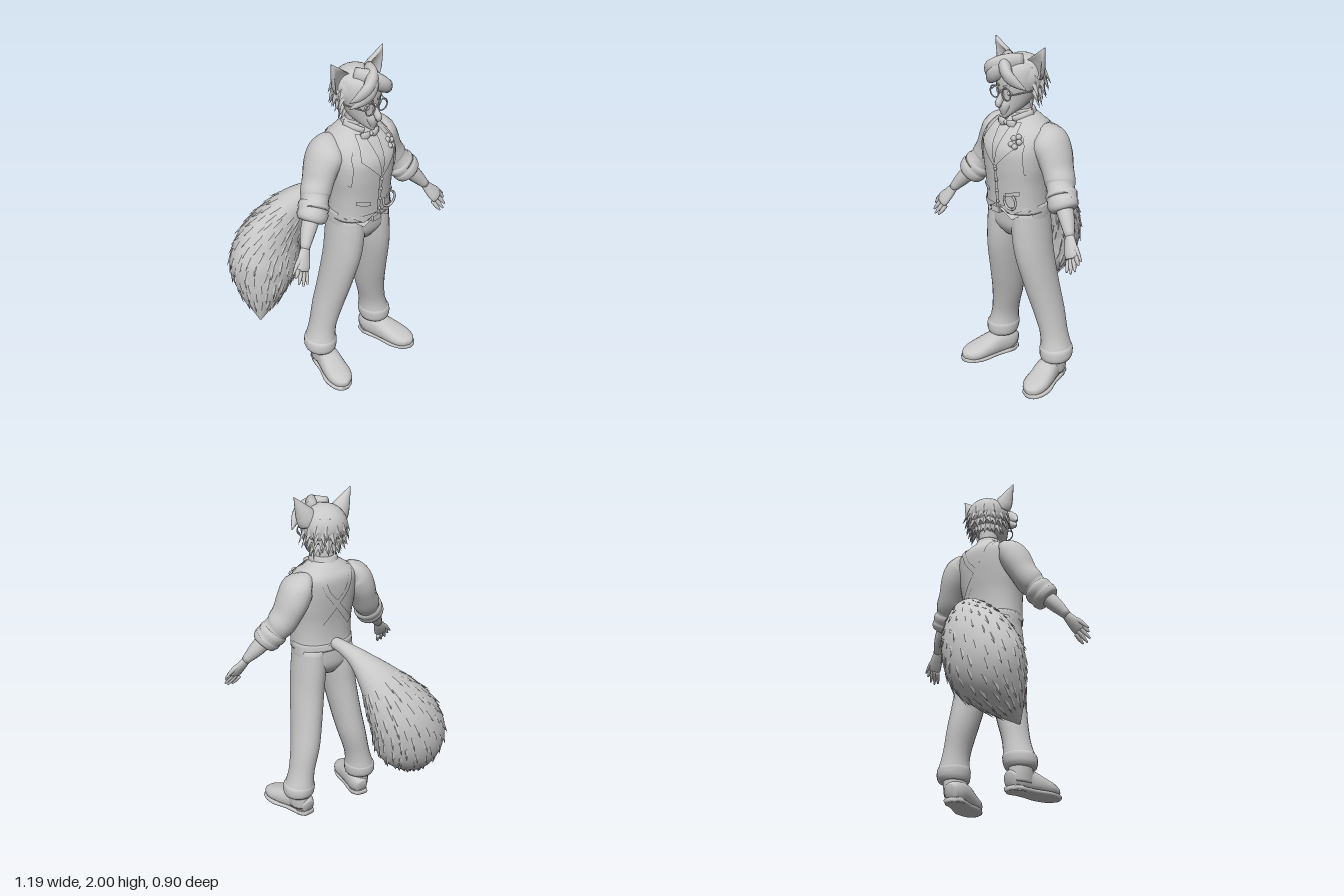
import * as THREE from 'three';
import { mergeGeometries } from 'three/addons/utils/BufferGeometryUtils.js';

const V = (x, y, z) => new THREE.Vector3(x, y, z);
const X = V(1, 0, 0);

// Station list [x, y, z, halfWidth, halfDepth] -> smooth sampler with a frame
function path(st, { flat = false, n = 2, ref = X } = {}) {
  const c = new THREE.CatmullRomCurve3(st.map(s => V(s[0], s[1], s[2])), false, 'catmullrom', 0.5);
  const r = new THREE.CatmullRomCurve3(st.map(s => V(s[3], s[4], 0)), false, 'catmullrom', 0.5);
  const f = t => {
    const p = c.getPoint(t), q = r.getPoint(t);
    const T = flat ? V(0, 1, 0) : c.getTangent(t);
    const A = ref.clone().addScaledVector(T, -ref.dot(T)).normalize();
    return { p, T, A, B: T.clone().cross(A), a: Math.max(q.x, 0.001), b: Math.max(q.y, 0.001) };
  };
  f.n = n;
  f.count = st.length;
  return f;
}
const power = (v, n) => Math.sign(v) * Math.pow(Math.abs(v), 2 / n);
function onRing(f, t, ang) {
  const s = f(t);
  return s.p.addScaledVector(s.A, s.a * power(Math.cos(ang), f.n)).addScaledVector(s.B, s.b * power(Math.sin(ang), f.n));
}
// Closed tube through the sampler's rings
function loft(f, seg = 20, steps = (f.count - 1) * 4) {
  const pos = [], idx = [];
  for (let i = 0; i <= steps; i++)
    for (let j = 0; j < seg; j++) pos.push(...onRing(f, i / steps, j / seg * Math.PI * 2).toArray());
  pos.push(...f(0).p.toArray(), ...f(1).p.toArray());
  const c0 = (steps + 1) * seg, top = steps * seg;
  for (let j = 0; j < seg; j++) {
    const k = (j + 1) % seg;
    for (let i = 0; i < steps; i++) {
      const a = i * seg + j, b = i * seg + k;
      idx.push(a, b, a + seg, b, b + seg, a + seg);
    }
    idx.push(c0, k, j, c0 + 1, top + j, top + k);
  }
  const g = new THREE.BufferGeometry();
  g.setAttribute('position', new THREE.Float32BufferAttribute(pos, 3));
  g.setIndex(idx);
  g.computeVertexNormals();
  return g;
}
// Flattened pointed tuft
function spike(p, dir, out, len, w) {
  const g = new THREE.ConeGeometry(w, len, 4).toNonIndexed();
  g.translate(0, len / 2, 0);
  const d = dir.clone().normalize(), side = d.clone().cross(out).normalize();
  g.applyMatrix4(new THREE.Matrix4().makeBasis(side, d, side.clone().cross(d).multiplyScalar(0.45)).setPosition(p));
  g.computeVertexNormals();
  return g;
}

export function createModel() {
  const root = new THREE.Group();
  root.name = 'foxFigure';
  const grey = new THREE.MeshStandardMaterial({ color: 0xc8c8c8, side: THREE.DoubleSide });
  grey.name = 'plain grey';
  let seed = 7;
  const rnd = () => (seed = (seed * 16807) % 2147483647) / 2147483647;
  const add = (name, geo, x = 0, y = 0, z = 0) => {
    const m = new THREE.Mesh(geo, grey);
    m.name = name;
    m.position.set(x, y, z);
    root.add(m);
    return m;
  };
  const part = (name, st, o, seg, steps) => add(name, loft(path(st, o), seg, steps));

  // Waistcoat body
  const torso = path([
    [0, 1.075, .25, .187, .145], [0, 1.15, .255, .183, .142], [0, 1.25, .255, .186, .148], [0, 1.35, .25, .2, .16],
    [0, 1.45, .24, .205, .165], [0, 1.53, .215, .19, .14], [0, 1.58, .205, .13, .1], [0, 1.62, .21, .07, .07]], { flat: true, n: 2.3 });
  add('waistcoat', loft(torso, 36, 40));

  // Thin panels laid over the front (sign 1) or back (sign -1) of the torso
  const surfaceZ = (x, y, sign) => {
    let lo = 0, hi = 1;
    for (let i = 0; i < 24; i++) { const m = (lo + hi) / 2; if (torso(m).p.y < y) lo = m; else hi = m; }
    const s = torso(lo), q = Math.min(Math.abs(x) / s.a, 0.97);
    return s.p.z + sign * s.b * Math.pow(1 - Math.pow(q, 2.3), 1 / 2.3);
  };
  const panel = (name, e1, e2, sign = 1, off = 0.008) => {
    const g = new THREE.PlaneGeometry(1, 1, 6, 16), p = g.attributes.position;
    const at = (e, t) => {
      const k = Math.min(Math.floor(t * (e.length - 1)), e.length - 2), u = t * (e.length - 1) - k;
      return [0, 1].map(i => e[k][i] + (e[k + 1][i] - e[k][i]) * u);
    };
    for (let i = 0; i < p.count; i++) {
      const u = p.getX(i) + .5, t = .5 - p.getY(i), a = at(e1, t), b = at(e2, t);
      const x = a[0] + (b[0] - a[0]) * u, y = a[1] + (b[1] - a[1]) * u;
      p.setXYZ(i, x, y, surfaceZ(x, y, sign) + sign * off);
    }
    g.computeVertexNormals();
    add(name, g);
  };
  panel('buttonPlacket', [[-.012, 1.37], [-.012, 1.08]], [[.012, 1.37], [.012, 1.08]]);
  for (let i = 0; i < 4; i++) {
    const y = 1.33 - i * .065;
    add('button', new THREE.SphereGeometry(.009, 8, 6), .004, y, surfaceZ(0, y, 1) + .01);
  }
  for (const s of [1, -1]) {
    const m = e => e.map(([x, y]) => [x * s, y]);
    panel('lapel', m([[.04, 1.585], [.02, 1.47], [0, 1.36]]), m([[.085, 1.585], [.125, 1.47], [.01, 1.35]]), 1, .014);
    panel('shoulderStrap', m([[.115, 1.58], [.16, 1.48], [.165, 1.32]]), m([[.14, 1.57], [.185, 1.48], [.185, 1.32]]), 1, .01);
    panel('backStrap', m([[.1, 1.585], [.05, 1.46], [-.13, 1.25]]), m([[.125, 1.575], [.08, 1.45], [-.1, 1.22]]), -1, .007);
    panel('pocketWelt', m([[.06, 1.2], [.06, 1.175]]), m([[.14, 1.22], [.14, 1.195]]), 1, .01);
    // Pointed hem flap
    panel('hemPoint', m([[.01, 1.12], [.09, 1.076]]), m([[.17, 1.12], [.1, 1.076]]), 1, .008);
    const tri = new THREE.Shape([[.01, 1.1], [.175, 1.1], [.095, 1.045]].map(([x, y]) => new THREE.Vector2(x * s, y)));
    const flap = new THREE.ExtrudeGeometry(tri, { depth: .008, bevelEnabled: false });
    const fp = flap.attributes.position;
    for (let i = 0; i < fp.count; i++) fp.setZ(i, fp.getZ(i) + surfaceZ(fp.getX(i), 1.08, 1));
    flap.computeVertexNormals();
    add('hemFlap', flap);
    // Shirt collar wing and bow tie
    part('collarWing', [[s * .075, 1.61, .2, .012, .03], [s * .06, 1.605, .26, .016, .022], [s * .025, 1.59, .305, .01, .02]], {}, 10);
    part('bowLoop', [[0, 1.575, .325, .01, .01], [s * .03, 1.572, .328, .013, .024], [s * .06, 1.565, .32, .01, .03]], { ref: V(0, 0, 1) }, 10);
  }
  add('bowKnot', new THREE.SphereGeometry(.014, 10, 8), 0, 1.575, .33);
  part('collar', [[0, 1.57, .2, .09, .085], [0, 1.61, .205, .08, .075], [0, 1.64, .21, .073, .068]], { flat: true });
  part('neck', [[0, 1.56, .21, .06, .06], [0, 1.74, .22, .06, .065]], { flat: true }, 16);

  // Breast flower, watch chain and buckle
  for (let i = 0; i < 5; i++) {
    const a = i * 1.257, x = .11 + .02 * Math.cos(a), y = 1.5 + .024 * Math.sin(a);
    add('flowerPetal', new THREE.SphereGeometry(.017, 8, 6), x, y, surfaceZ(x, y, 1) + .008);
  }
  add('watchChain', new THREE.TorusGeometry(.045, .007, 6, 20, Math.PI * 1.5), .09, 1.155, surfaceZ(.09, 1.15, 1) + .012).rotation.z = 2.6;
  add('beltBuckle', new THREE.BoxGeometry(.06, .035, .02), -.015, 1.085, .4);

  // Trousers
  part('trouserHips', [[0, .91, .24, .06, .09], [0, .97, .24, .17, .125], [0, 1.04, .24, .187, .132], [0, 1.12, .24, .186, .13]], { flat: true, n: 2.3 }, 32);
  for (const s of [1, -1]) {
    part('trouserLeg', [
      [s * .225, .14, .175, .083, .085], [s * .225, .19, .17, .09, .098], [s * .215, .25, .168, .08, .09], [s * .2, .32, .17, .077, .088],
      [s * .17, .45, .18, .085, .1], [s * .143, .6, .205, .089, .112], [s * .115, .8, .235, .094, .126],
      [s * .099, .95, .24, .096, .13], [s * .09, 1.08, .24, .093, .125]], { flat: true }, 22);
    part('trouserCuff', [[s * .228, .135, .175, .086, .09], [s * .228, .16, .172, .094, .1], [s * .225, .2, .17, .094, .101], [s * .22, .22, .17, .082, .09]], { flat: true }, 22);

    // Shoes with toes turned out
    part('shoe', [[s * .2, .055, .1, .035, .045], [s * .205, .07, .15, .058, .065], [s * .222, .075, .23, .066, .07],
      [s * .245, .06, .31, .074, .055], [s * .262, .048, .38, .074, .043], [s * .275, .04, .43, .052, .033], [s * .28, .035, .455, .015, .018]], { n: 2.4 }, 18);
    part('shoeAnkle', [[s * .22, .05, .185, .06, .08], [s * .222, .1, .185, .063, .085], [s * .225, .18, .175, .062, .07]], { flat: true }, 16);
    part('shoeSole', [[s * .2, .014, .1, .04, .014], [s * .207, .014, .16, .06, .014], [s * .23, .014, .25, .064, .014],
      [s * .258, .014, .35, .08, .014], [s * .276, .014, .43, .058, .014], [s * .28, .014, .458, .02, .012]], { n: 4 }, 16);
    add('shoeHeel', new THREE.CylinderGeometry(.054, .056, .03, 14), s * .206, .015, .155);
    for (let i = 0; i < 3; i++)
      part('shoeLace', [[s * .205, .128 - i * .012, .25 + i * .03, .005, .005], [s * .265, .128 - i * .012, .25 + i * .03, .005, .005]], { ref: V(0, 1, 0) }, 6);

    // Sleeve with folds and a rolled cuff
    part('sleeve', [[s * .12, 1.5, .2, .05, .08], [s * .185, 1.485, .195, .085, .112], [s * .225, 1.42, .19, .088, .112], [s * .262, 1.34, .2, .08, .098],
      [s * .295, 1.28, .215, .083, .088], [s * .315, 1.25, .23, .075, .08], [s * .345, 1.21, .25, .082, .082]], {}, 20);
    part('rolledCuff', [[s * .315, 1.245, .232, .068, .07], [s * .33, 1.225, .24, .088, .084], [s * .35, 1.2, .253, .084, .08],
      [s * .36, 1.187, .26, .088, .082], [s * .38, 1.165, .272, .078, .072], [s * .388, 1.155, .276, .045, .045]], {}, 20);

    // Forearm and hand
    part('forearm', [[s * .36, 1.19, .26, .05, .052], [s * .42, 1.12, .29, .042, .044], [s * .475, 1.05, .325, .026, .024]], {}, 14);
    part('palm', [[s * .465, 1.06, .32, .024, .02], [s * .492, 1.02, .338, .036, .021], [s * .52, .977, .36, .044, .019], [s * .533, .955, .37, .036, .015]], {}, 14);
    const tips = [[.586, .935, .372], [.58, .902, .392], [.557, .885, .402], [.528, .883, .402]];
    tips.forEach(([x, y, z], i) => {
      const bx = .557 - i * .018, by = .977 - i * .013;
      part('finger', [[s * bx, by, .362, .013, .012], [s * (bx + x) / 2, (by + y) / 2 - .002, (.364 + z) / 2, .012, .011], [s * x, y, z, .005, .005]], {}, 8);
    });
    part('thumb', [[s * .49, 1.03, .335, .017, .016], [s * .54, 1.005, .345, .015, .014], [s * .592, .955, .358, .005, .005]], {}, 8);

    // Cupped ear: the front half of each ring is pressed back into the shell
    const ear = loft(path([[s * .098, 1.845, .225, .062, .062], [s * .115, 1.88, .222, .06, .055], [s * .142, 1.925, .22, .04, .036], [s * .187, 2, .22, .002, .002]]), 20);
    const ep = ear.attributes.position;
    for (let i = 0; i < ep.count; i++) {
      const d = ep.getZ(i) - .235;
      if (d > 0) ep.setZ(i, .235 - d * .6);
    }
    ear.computeVertexNormals();
    add('ear', ear);

    // Eyeglasses and brows
    add('glassesRim', new THREE.TorusGeometry(.033, .004, 6, 20), s * .046, 1.748, .368);
    part('glassesArm', [[s * .08, 1.75, .366, .004, .004], [s * .125, 1.76, .25, .004, .004]], {}, 6);
    add('eye', new THREE.SphereGeometry(.016, 10, 8), s * .044, 1.75, .338);
    part('brow', [[s * .018, 1.785, .36, .006, .006], [s * .085, 1.8, .325, .006, .006]], { ref: V(0, 1, 0) }, 6);
  }
  add('glassesBridge', new THREE.BoxGeometry(.028, .006, .006), 0, 1.752, .37);

  // Head with pointed chin and muzzle
  part('head', [[0, 1.605, .34, .012, .012], [0, 1.635, .31, .045, .045], [0, 1.68, .265, .08, .09], [0, 1.74, .245, .104, .112],
    [0, 1.82, .235, .118, .125], [0, 1.89, .23, .1, .11], [0, 1.93, .22, .03, .04]], { flat: true }, 24);
  part('nose', [[0, 1.765, .345, .01, .012], [0, 1.725, .362, .016, .02], [0, 1.693, .385, .02, .018], [0, 1.675, .375, .01, .01]], {}, 10);
  part('muzzle', [[0, 1.71, .32, .05, .035], [0, 1.675, .338, .042, .034], [0, 1.64, .343, .026, .022], [0, 1.605, .342, .006, .006]], {}, 14);

  // Hair: cap, swept fringe and ragged tufts
  const cap = new THREE.SphereGeometry(1, 24, 18);
  cap.scale(.132, .122, .13);
  add('hairCap', cap, 0, 1.815, .205);
  for (const [sx, o] of [[-1, 0], [-1, .035], [1, .02]])
    part('fringeLock', [[-sx * .05, 1.905, .25, .05, .03], [sx * .0, 1.905 - o * .5, .33, .05, .036],
      [sx * (.065 - o * .4), 1.875 - o, .367, .042, .03], [sx * (.11 - o * .3), 1.835 - o, .35, .025, .02], [sx * .145, 1.8 - o, .315, .002, .002]], { ref: V(0, 1, .3) }, 12);
  const tufts = [];
  for (let r = 0; r < 6; r++) {
    const el = .95 - r * .36, n = 10 + r * 2;
    for (let j = 0; j < n; j++) {
      const az = ((j + .5 * (r % 2)) / n) * Math.PI * 2, front = Math.cos(az);
      if (front > (r < 2 ? .75 : .3)) continue;
      const o = V(Math.sin(az) * Math.cos(el), Math.sin(el), front * Math.cos(el));
      const p = V(0, 1.815, .205).add(o.clone().multiply(V(.122, .113, .12)));
      const d = V(o.x * .4 + (rnd() - .5) * .5, -1, o.z * .4);
      tufts.push(spike(p, d, V(o.x, .2, o.z), .065 + rnd() * .03, .026));
    }
  }
  add('hairTufts', mergeGeometries(tufts));

  // Bushy tail with fur tufts that follow its length
  const tail = path([[-.01, 1.115, .13, .035, .035], [-.03, 1.1, .03, .045, .042], [-.06, 1.06, -.06, .068, .06], [-.115, .965, -.15, .12, .1],
    [-.18, .84, -.215, .18, .14], [-.25, .7, -.25, .22, .172], [-.31, .55, -.24, .222, .18], [-.37, .41, -.195, .14, .13], [-.43, .26, -.14, .006, .006]]);
  add('tail', loft(tail, 28, 44));
  const fur = [];
  for (let i = 0; i < 14; i++) {
    const t = .4 + i * .039, n = 14;
    for (let j = 0; j < n; j++) {
      const ang = (j + (i % 2) * .5 + rnd() * .4) / n * Math.PI * 2, p = onRing(tail, t, ang), s = tail(t);
      const out = p.clone().sub(s.p).normalize();
      const along = onRing(tail, t + .02, ang).sub(p).normalize();
      fur.push(spike(p.addScaledVector(out, -.008), along.addScaledVector(out, .22), out, .06 + rnd() * .035, .02));
    }
  }
  add('tailFur', mergeGeometries(fur));
  return root;
}
